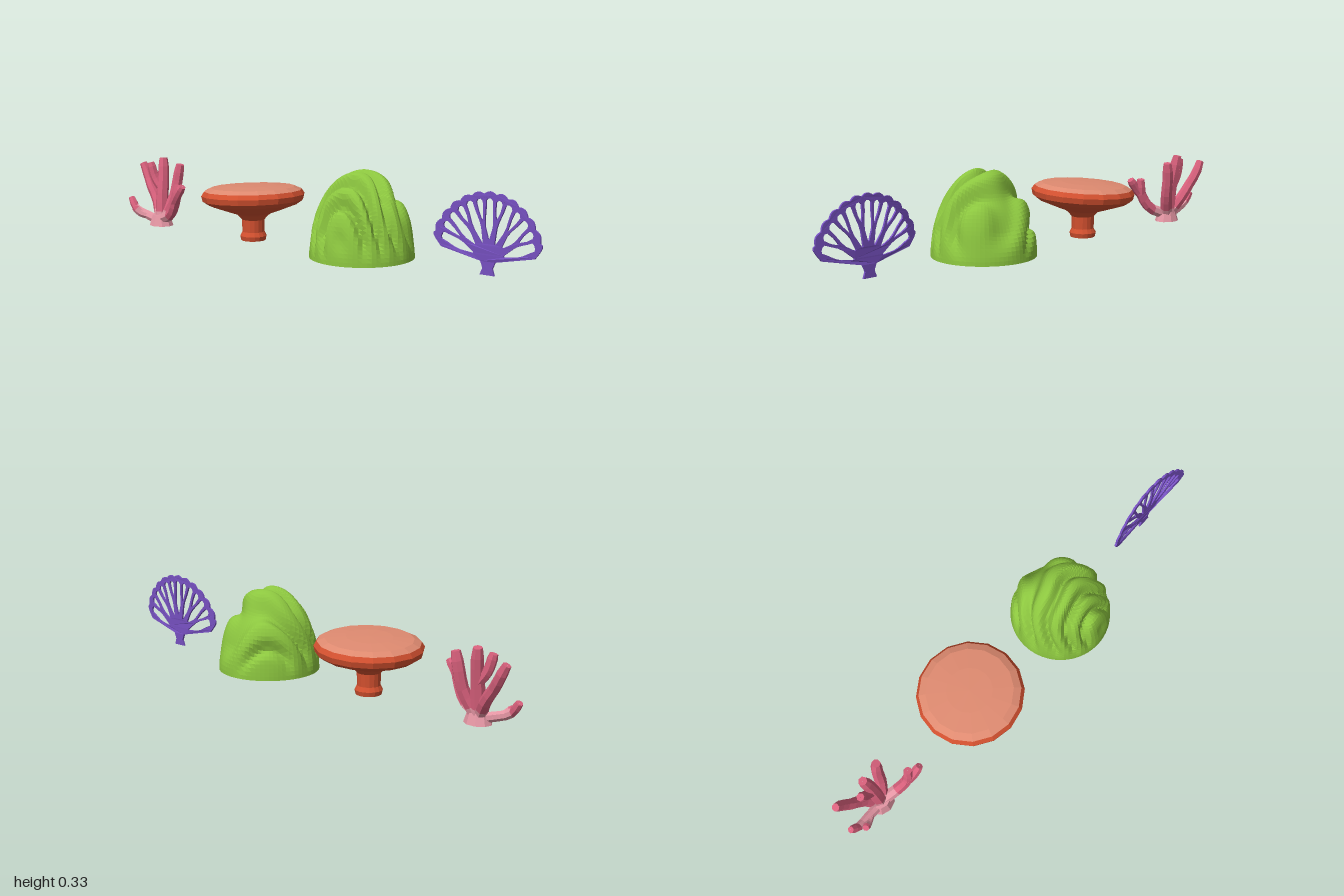
import * as THREE from 'three';

const mat = (name, color) => {
  const m = new THREE.MeshStandardMaterial({ color });
  m.name = name;
  return m;
};

// Facet a geometry by splitting its vertices
function flat(geo) {
  const g = geo.index ? geo.toNonIndexed() : geo;
  g.computeVertexNormals();
  return g;
}

function mesh(name, geo, material, parent) {
  const m = new THREE.Mesh(geo, material);
  m.name = name;
  parent.add(m);
  return m;
}

// Tapered tube with a blunt tip; material 1 covers the part near the ground
function branch(points, r0, r1) {
  const curve = new THREE.CatmullRomCurve3(points.map(p => new THREE.Vector3(...p)));
  const segs = 8, sides = 7;
  const geo = new THREE.TubeGeometry(curve, segs, 1, sides);
  const pos = geo.attributes.position, v = new THREE.Vector3();
  for (let i = 0; i < pos.count; i++) {
    const ring = Math.floor(i / (sides + 1)), t = ring / segs;
    const end = curve.getPointAt(Math.min(1, ring / (segs - 1)));
    const r = ring === segs ? 0.001 : (r0 + (r1 - r0) * t) * (ring === segs - 1 ? 0.8 : 1);
    v.fromBufferAttribute(pos, i).sub(curve.getPointAt(t)).multiplyScalar(r).add(end);
    pos.setXYZ(i, v.x, Math.max(v.y, 0), v.z);
  }
  let low = 0;
  while (low < segs && curve.getPointAt((low + 0.5) / (segs - 1)).y < 0.06) low++;
  const out = flat(geo), perRing = sides * 6;
  if (low > 0) out.addGroup(0, low * perRing, 1);
  out.addGroup(low * perRing, (segs - low) * perRing, 0);
  return out;
}

function branchCoral(pink, palePink) {
  const g = new THREE.Group();
  g.name = 'branchCoral';
  const arms = [
    ['tallBranch', [[-0.82, 0.02, -0.01], [-0.825, 0.13, -0.02], [-0.83, 0.22, -0.035], [-0.838, 0.285, -0.045]], 0.03, 0.021],
    ['tallFork', [[-0.828, 0.15, -0.025], [-0.865, 0.2, -0.02], [-0.885, 0.265, -0.015]], 0.02, 0.019],
    ['backBranch', [[-0.81, 0.03, -0.01], [-0.775, 0.12, -0.04], [-0.765, 0.2, -0.055], [-0.755, 0.262, -0.06]], 0.026, 0.021],
    ['rightBranch', [[-0.81, 0.03, 0], [-0.74, 0.06, 0.02], [-0.7, 0.12, 0.035], [-0.688, 0.19, 0.03]], 0.024, 0.02],
    ['rightFork', [[-0.715, 0.1, 0.03], [-0.68, 0.145, 0.045], [-0.645, 0.19, 0.05]], 0.02, 0.018],
    ['leftBranch', [[-0.83, 0.03, -0.01], [-0.875, 0.1, -0.04], [-0.92, 0.16, -0.05], [-0.945, 0.2, -0.06], [-0.972, 0.25, -0.06]], 0.024, 0.019],
    ['lowBranch', [[-0.83, 0.02, 0], [-0.9, 0.04, 0.005], [-0.95, 0.06, 0.01], [-0.985, 0.105, 0.005]], 0.02, 0.016],
    ['lowFork', [[-0.88, 0.035, 0], [-0.915, 0.045, 0.02], [-0.94, 0.07, 0.035]], 0.017, 0.016],
  ];
  for (const [name, pts, r0, r1] of arms) mesh(name, branch(pts, r0, r1), [pink, palePink], g);
  const foot = new THREE.CylinderGeometry(0.04, 0.055, 0.045, 9);
  foot.scale(1, 1, 0.85);
  foot.translate(-0.82, 0.0225, -0.005);
  mesh('branchFoot', flat(foot), palePink, g);
  return g;
}

function tableCoral(rust, salmon) {
  const g = new THREE.Group();
  g.name = 'tableCoral';
  g.position.x = -0.305;
  const lathe = pts => flat(new THREE.LatheGeometry(pts.map(p => new THREE.Vector2(...p)), 16));
  mesh('tableStem', lathe([[0, 0], [0.05, 0], [0.054, 0.018], [0.045, 0.035], [0.046, 0.085],
    [0.065, 0.105], [0.09, 0.125]]), rust, g);
  // Plate leans slightly on the stem
  const plate = new THREE.Group();
  plate.name = 'tablePlate';
  plate.position.y = 0.18;
  plate.rotation.set(-0.03, 0, 0.05);
  g.add(plate);
  mesh('plateBody', lathe([[0, -0.085], [0.06, -0.075], [0.1, -0.062], [0.18, -0.033], [0.205, -0.016],
    [0.21, 0.006], [0.198, 0.024]]), rust, plate);
  mesh('plateTop', lathe([[0.198, 0.024], [0.17, 0.037], [0.09, 0.044], [0, 0.046]]), salmon, plate);
  return g;
}

function brainCoral(green) {
  const g = new THREE.Group();
  g.name = 'brainCoral';
  g.position.x = 0.23;
  // Dome carved with meandering grooves that fade out at the base
  const geo = new THREE.SphereGeometry(1, 72, 32, 0, Math.PI * 2, 0, Math.PI / 2);
  const pos = geo.attributes.position;
  for (let i = 0; i < pos.count; i++) {
    const x = pos.getX(i), y = pos.getY(i), z = pos.getZ(i);
    const s = Math.sin(6.5 * z + 2 * Math.sin(3 * x + 1) + 1.3 * Math.sin(4 * y + 2 * x) - 0.7);
    const groove = Math.pow(1 - s * s, 2) * THREE.MathUtils.smoothstep(y, 0, 0.4);
    const k = 1.015 - 0.14 * groove;
    pos.setXYZ(i, x * 0.2 * k, Math.max(0, y * 0.333 * k), z * 0.2 * k);
  }
  mesh('brainDome', flat(geo), green, g);
  const base = new THREE.CircleGeometry(0.203, 72);
  base.rotateX(Math.PI / 2);
  mesh('brainUnderside', base, green, g);
  return g;
}

function fanCoral(purple) {
  const g = new THREE.Group();
  g.name = 'fanCoral';
  const cx = 0.775, cy = 0.05, rad = Math.PI / 180;
  const at = (r, deg) => new THREE.Vector2(cx + 0.94 * r * Math.cos(deg * rad), cy + 1.01 * r * Math.sin(deg * rad));
  const sectors = 7, a0 = 10, step = 160 / sectors;

  // Stem and scalloped rim
  const outline = [new THREE.Vector2(0.8, 0), new THREE.Vector2(0.792, 0.025), new THREE.Vector2(0.803, 0.05)];
  const n = 78;
  for (let i = 0; i <= n; i++) {
    const u = i / n, end = Math.min(1, Math.min(u, 1 - u) / 0.06);
    outline.push(at(0.205 + 0.038 * end + 0.01 * end * Math.abs(Math.sin(u * 13 * Math.PI)), a0 + 160 * u));
  }
  outline.push(new THREE.Vector2(0.743, 0.05), new THREE.Vector2(0.752, 0.025), new THREE.Vector2(0.742, 0));
  const shape = new THREE.Shape(outline);

  // Gaps between ribs, and a smaller gap inside each fork
  const gap = (deg, rows) => {
    const right = rows.map(([r, w]) => at(r, deg - w));
    const left = rows.map(([r, w]) => at(r, deg + w)).reverse();
    shape.holes.push(new THREE.Path([...left, ...right]));
  };
  for (let i = 0; i < sectors; i++) {
    const deg = a0 + (i + 0.5) * step, edge = i === 0 || i === sectors - 1;
    const r = 0.07 + 0.012 * (i % 2);
    gap(deg, [[r, 2], [0.125, 7.5], [0.15, 7], [0.19, 4.6], [edge ? 0.21 : 0.22, 4], [edge ? 0.215 : 0.228, 1.8]]);
    if (i > 0) gap(a0 + i * step, [[0.145 + 0.012 * (i % 2), 0.6], [0.185, 3.4], [0.218, 3.8], [0.227, 1.6]]);
  }
  const geo = new THREE.ExtrudeGeometry(shape, { depth: 0.008, bevelEnabled: false });
  // Gentle curl along x
  const pos = geo.attributes.position;
  for (let i = 0; i < pos.count; i++) {
    const d = (pos.getX(i) - cx) / 0.22;
    pos.setZ(i, pos.getZ(i) - 0.012 + 0.016 * d * d);
  }
  mesh('fan', flat(geo), purple, g);
  return g;
}

export function createModel() {
  const model = new THREE.Group();
  model.name = 'coralSet';
  model.add(
    branchCoral(mat('pink', 0xd8607c), mat('palePink', 0xe596a4)),
    tableCoral(mat('rust', 0xd2502f), mat('salmon', 0xde8a70)),
    brainCoral(mat('green', 0x8cc63f)),
    fanCoral(mat('purple', 0x7650c0)),
  );
  return model;
}
